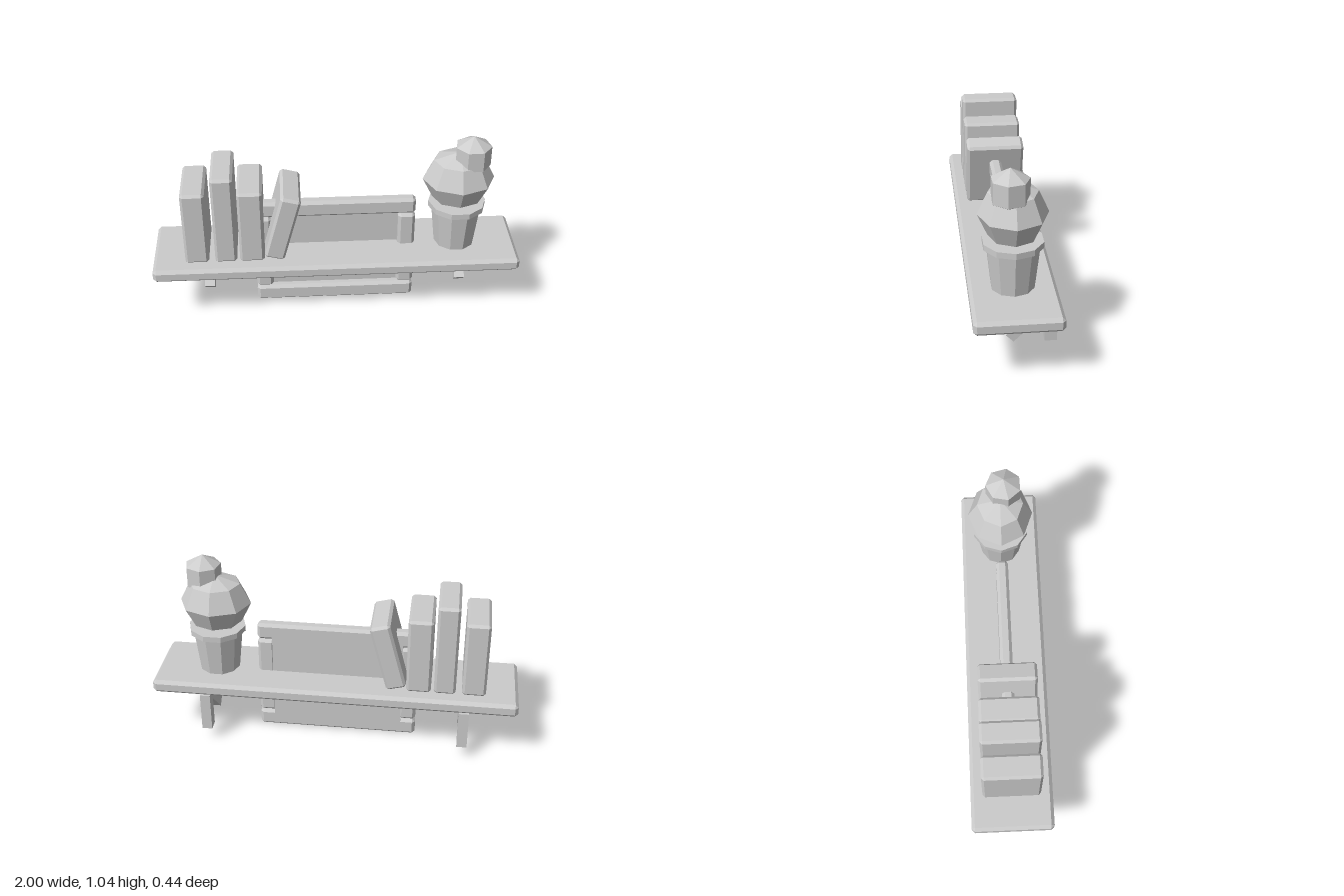
import * as THREE from 'three';
import { ConvexGeometry } from 'three/addons/geometries/ConvexGeometry.js';

const grey = new THREE.MeshStandardMaterial({ color: 0xcccccc, flatShading: true });
grey.name = 'plain grey';

// Box with every edge chamfered by b: each corner gives three points
function chamferBox(w, h, d, b) {
  const points = [];
  for (const x of [-w / 2, w / 2]) for (const y of [-h / 2, h / 2]) for (const z of [-d / 2, d / 2]) {
    const sx = Math.sign(x) * b, sy = Math.sign(y) * b, sz = Math.sign(z) * b;
    points.push(
      new THREE.Vector3(x, y - sy, z - sz),
      new THREE.Vector3(x - sx, y, z - sz),
      new THREE.Vector3(x - sx, y - sy, z));
  }
  return new ConvexGeometry(points);
}

function add(parent, name, geometry, x, y, z) {
  const mesh = new THREE.Mesh(geometry, grey);
  mesh.name = name;
  mesh.position.set(x, y, z);
  parent.add(mesh);
  return mesh;
}

function addGroup(parent, name, x = 0, y = 0, z = 0) {
  const group = new THREE.Group();
  group.name = name;
  group.position.set(x, y, z);
  parent.add(group);
  return group;
}

export function createModel() {
  const model = new THREE.Group();
  model.name = 'wallShelf';

  // Shelf board
  add(model, 'shelfBoard', chamferBox(2, 0.076, 0.444, 0.018), 0, 0.336, 0);

  // Brackets: a wall upright and a 45 degree strut
  for (const x of [-0.713, 0.708]) {
    const bracket = addGroup(model, 'bracket', x);
    add(bracket, 'bracketUpright', new THREE.BoxGeometry(0.056, 0.22, 0.064), 0, 0.19, -0.189);
    const strut = add(bracket, 'bracketStrut', new THREE.BoxGeometry(0.056, 0.27, 0.056), 0, 0.2, -0.075);
    strut.rotation.x = -Math.PI / 4;
  }

  // Standing books: [centre x, width, top y]
  const books = addGroup(model, 'books');
  for (const [x, w, top] of [[-0.759, 0.128, 0.815], [-0.602, 0.118, 0.905], [-0.46, 0.134, 0.815]]) {
    const h = top - 0.376;
    add(books, 'book', chamferBox(w, h, 0.314, 0.014), x, 0.376 + h / 2, 0);
  }
  // Leaning book
  const leaning = add(books, 'leaningBook', chamferBox(0.112, 0.392, 0.314, 0.014), -0.291, 0.577, 0);
  leaning.rotation.z = -0.26;

  // Picture frame passing through the board
  const frame = addGroup(model, 'pictureFrame', -0.004);
  for (const y of [0.052, 0.62])
    add(frame, 'frameRail', chamferBox(0.884, 0.096, 0.066, 0.016), 0, y, 0);
  for (const side of [-1, 1])
    add(frame, 'frameStile', chamferBox(0.094, 0.466, 0.066, 0.016), side * 0.395, 0.336, 0);
  add(frame, 'backPanel', new THREE.BoxGeometry(0.72, 0.53, 0.026), 0, 0.336, -0.02);

  // Potted plant
  const plant = addGroup(model, 'pottedPlant', 0.664, 0, 0);
  const turn = Math.PI / 2;
  add(plant, 'pot', new THREE.CylinderGeometry(0.138, 0.112, 0.235, 10), 0, 0.49, 0).rotation.y = turn;
  add(plant, 'potRim', new THREE.CylinderGeometry(0.156, 0.156, 0.032, 10), 0, 0.621, 0).rotation.y = turn;
  add(plant, 'foliage', new THREE.SphereGeometry(1, 8, 4), 0, 0.78, 0).scale.set(0.194, 0.162, 0.176);
  add(plant, 'topSprout', new THREE.SphereGeometry(0.112, 7, 3), 0.064, 0.935, 0.021).rotation.y = 0.25;

  return model;
}
